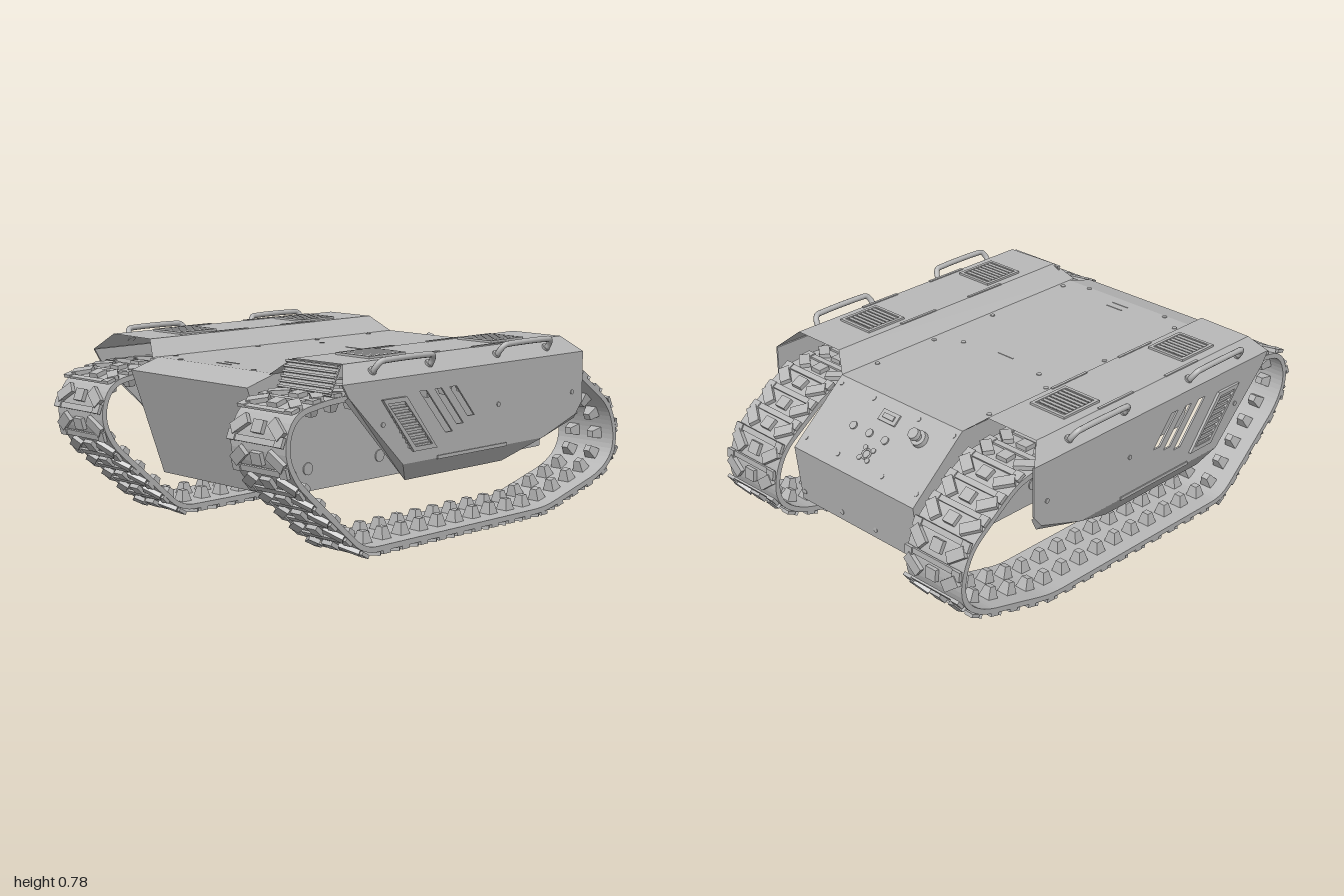
import * as THREE from 'three';
import { mergeGeometries } from 'three/addons/utils/BufferGeometryUtils.js';

const grey = new THREE.MeshStandardMaterial({ color: 0xb8b8b8, side: THREE.DoubleSide });
grey.name = 'metal grey';

function add(parent, name, geo, x = 0, y = 0, z = 0) {
  const m = new THREE.Mesh(geo, grey);
  m.name = name;
  m.position.set(x, y, z);
  parent.add(m);
  return m;
}
const box = (w, h, d) => new THREE.BoxGeometry(w, h, d);
const vecs = pts => pts.map(p => new THREE.Vector2(p[0], p[1]));
const extrude = (shape, depth) => new THREE.ExtrudeGeometry(shape, { depth, bevelEnabled: false, curveSegments: 20 });

// Flat-shaded strip between neighbouring rows of [x, y, z] points
function strip(rows) {
  const pos = [];
  for (let i = 0; i + 1 < rows.length; i++) {
    const a = rows[i], b = rows[i + 1];
    for (let j = 0; j + 1 < a.length; j++) pos.push(...a[j], ...b[j], ...b[j + 1], ...a[j], ...b[j + 1], ...a[j + 1]);
  }
  const g = new THREE.BufferGeometry();
  g.setAttribute('position', new THREE.Float32BufferAttribute(pos, 3));
  g.computeVertexNormals();
  return g;
}

// Closed path with softened corners
function roundedPath(pts, cut) {
  const p = vecs(pts), n = p.length, path = new THREE.Path();
  const toward = (a, b) => a.clone().lerp(b, Math.min(0.5, cut / a.distanceTo(b)));
  const first = toward(p[0], p[n - 1]);
  path.moveTo(first.x, first.y);
  for (let i = 0; i < n; i++) {
    const s = toward(p[i], p[(i + n - 1) % n]), e = toward(p[i], p[(i + 1) % n]);
    if (i && s.distanceTo(path.currentPoint) > 1e-4) path.lineTo(s.x, s.y);
    path.quadraticCurveTo(p[i].x, p[i].y, e.x, e.y);
  }
  path.lineTo(first.x, first.y);
  return path;
}

function makeTrack() {
  const track = new THREE.Group();
  track.name = 'track';
  const path = roundedPath([[-0.74, 0.625], [-0.93, 0.595], [-0.98, 0.47], [-0.93, 0.35], [-0.575, 0.03], [0.5, 0.03],
    [0.87, 0.13], [0.96, 0.2], [0.978, 0.3], [0.93, 0.43], [0.68, 0.61], [0.55, 0.625]], 0.07);
  const frame = u => {
    const p = path.getPointAt(u), t = path.getTangentAt(u);
    return { p, t, n: new THREE.Vector2(t.y, -t.x) };
  };
  // Belt
  const outer = [], inner = [], N = 200;
  for (let i = 0; i < N; i++) {
    const { p, n } = frame(i / N);
    outer.push(p.clone().addScaledVector(n, 0.011));
    inner.push(p.clone().addScaledVector(n, -0.011));
  }
  const belt = new THREE.Shape(outer);
  belt.holes.push(new THREE.Path(inner));
  add(track, 'trackBelt', extrude(belt, 0.3), 0, 0, 0.39);
  // One pitch of lugs outside and guide teeth inside
  const link = [box(0.05, 0.018, 0.055).translate(0, 0.02, 0), box(0.024, 0.009, 0.296).translate(0.052, 0.015, 0)];
  for (const s of [-1, 1]) {
    link.push(box(0.045, 0.018, 0.085).rotateY(s * 0.65).translate(0, 0.02, s * 0.1));
    link.push(box(0.04, 0.014, 0.04).translate(0.045, 0.018, s * 0.128));
    link.push(new THREE.CylinderGeometry(0.036, 0.02, 0.048, 4).rotateY(Math.PI / 4).scale(1, 1, 1.1).translate(0, -0.034, s * 0.06));
  }
  const one = mergeGeometries(link), all = [], count = 42;
  for (let i = 0; i < count; i++) {
    const { p, t, n } = frame(i / count);
    const m = new THREE.Matrix4().makeBasis(new THREE.Vector3(t.x, t.y, 0), new THREE.Vector3(n.x, n.y, 0), new THREE.Vector3(0, 0, -1));
    all.push(one.clone().applyMatrix4(m.setPosition(p.x, p.y, 0.54)));
  }
  const lugs = mergeGeometries(all).toNonIndexed();
  lugs.computeVertexNormals();
  add(track, 'trackLugs', lugs);
  return track;
}

function makeFender() {
  const f = new THREE.Group();
  f.name = 'fender';
  // Folded top
  const rows = [[-0.75, 0.64, 0.69, 0.35], [-0.7, 0.585, 0.755, 0.43], [-0.69, 0.585, 0.755, 0.685], [-0.75, 0.66, 0.69, 0.747]];
  add(f, 'fenderTop', strip(rows.map(([a, b, y, z]) => [[a, y, z], [b, y, z]])));
  // Side plate with slanted slots
  const side = new THREE.Shape(vecs([[-0.75, 0.69], [-0.72, 0.64], [-0.43, 0.355], [0.4, 0.355], [0.62, 0.43], [0.66, 0.48], [0.66, 0.69]]));
  for (const [x, y0] of [[-0.34, 0.45], [-0.255, 0.475], [-0.17, 0.5]])
    side.holes.push(new THREE.Path(vecs([[x, 0.625], [x + 0.04, 0.625], [x + 0.04 + (0.625 - y0) * 0.85, y0], [x + (0.625 - y0) * 0.85, y0]])));
  add(f, 'sidePlate', extrude(side, 0.008), 0, 0, 0.739);
  // Lower edge folded inward
  add(f, 'sideSkirt', strip([
    [[-0.72, 0.64, 0.747], [-0.43, 0.355, 0.747], [0.4, 0.355, 0.747], [0.62, 0.43, 0.747], [0.66, 0.48, 0.747]],
    [[-0.73, 0.63, 0.735], [-0.37, 0.28, 0.7], [0.2, 0.28, 0.7], [0.63, 0.41, 0.73], [0.664, 0.47, 0.738]]]));
  add(f, 'skirtRail', box(0.41, 0.014, 0.006), -0.035, 0.358, 0.749);
  // Slanted side vent
  const outline = (i) => vecs([[-0.55 + i * 1.5, 0.615 - i], [-0.42 - i * 0.6, 0.615 - i], [-0.25 - i * 1.5, 0.4 + i], [-0.38 + i * 0.6, 0.4 + i]]);
  const vent = new THREE.Shape(outline(0));
  vent.holes.push(new THREE.Path(outline(0.018)));
  add(f, 'sideVentFrame', extrude(vent, 0.012), 0, 0, 0.747);
  for (let i = 0; i < 9; i++) {
    const y = 0.42 + i * 0.0215;
    add(f, 'sideVentSlat', box(0.115, 0.011, 0.008), -0.33 - (y - 0.4) * 0.73, y, 0.751);
  }
  // Top grilles
  for (const x of [-0.41, 0.29]) {
    for (const s of [-1, 1]) {
      add(f, 'grilleFrame', box(0.2, 0.01, 0.014), x, 0.759, 0.555 + s * 0.083);
      add(f, 'grilleFrame', box(0.014, 0.01, 0.18), x + s * 0.093, 0.759, 0.555);
    }
    for (let i = 0; i < 8; i++) {
      const bar = add(f, 'grilleBar', box(0.014, 0.009, 0.15), x - 0.077 + i * 0.022, 0.759, 0.555);
      bar.rotation.z = 0.4;
    }
  }
  // Grab handles
  for (const x of [-0.415, 0.29]) {
    const p = [[-0.155, 0.715, 0.722], [-0.155, 0.738, 0.738], [-0.14, 0.76, 0.752], [-0.11, 0.763, 0.754]];
    const pts = [...p, ...p.slice().reverse().map(([a, b, c]) => [-a, b, c])].map(([a, b, c]) => new THREE.Vector3(x + a, b, c));
    add(f, 'grabHandle', new THREE.TubeGeometry(new THREE.CatmullRomCurve3(pts), 40, 0.012, 10));
    for (const s of [-1, 1]) {
      const foot = add(f, 'handleFoot', new THREE.CylinderGeometry(0.017, 0.017, 0.012, 12), x + s * 0.155, 0.722, 0.72);
      foot.rotation.x = Math.PI / 4;
    }
  }
  // Thin raised hinge strips along the folds
  for (const x of [-0.26, 0.135]) {
    add(f, 'hingeStrip', box(0.2, 0.006, 0.012), x, 0.756, 0.435);
    add(f, 'hingeStrip', box(0.2, 0.006, 0.012), x, 0.756, 0.68);
  }
  for (const [x, y] of [[-0.54, 0.52], [0.12, 0.525], [0.59, 0.525]])
    add(f, 'sideScrew', new THREE.CylinderGeometry(0.01, 0.01, 0.004, 12).rotateX(Math.PI / 2), x, y, 0.749);
  return f;
}

export function createModel() {
  const model = new THREE.Group();
  model.name = 'trackedRobot';
  // Hull with a cross hole for the drive axle
  const hull = new THREE.Shape(vecs([[-0.7, 0.21], [0.875, 0.21], [0.905, 0.46], [0.64, 0.69], [-0.72, 0.69], [-0.86, 0.65]]));
  hull.holes.push(new THREE.Path().absarc(0.79, 0.32, 0.06, 0, Math.PI * 2, true));
  add(model, 'hull', extrude(hull, 0.7), 0, 0, -0.35);

  // Tracks and fenders on both sides
  for (const s of [1, -1]) {
    const half = new THREE.Group();
    half.name = s > 0 ? 'frontSide' : 'backSide';
    half.add(makeTrack(), makeFender());
    for (let i = 0; i < 6; i++) {
      const a = i * Math.PI / 3;
      add(half, 'axleBolt', new THREE.CylinderGeometry(0.007, 0.007, 0.006, 8).rotateX(Math.PI / 2), 0.79 + 0.075 * Math.cos(a), 0.32 + 0.075 * Math.sin(a), 0.352);
    }
    for (const x of [-0.55, -0.15, 0.25, 0.55])
      add(half, 'hullPlug', new THREE.CylinderGeometry(0.025, 0.025, 0.006, 16).rotateX(Math.PI / 2), x, 0.3, 0.352);
    half.scale.z = s;
    model.add(half);
  }

  // Ribbed end guard on one fender
  const guard = new THREE.Group();
  guard.name = 'endGuard';
  guard.position.set(-0.72, 0.695, 0.54);
  guard.rotation.z = -0.45;
  add(guard, 'guardPlate', box(0.006, 0.12, 0.28));
  for (let i = 0; i < 6; i++) add(guard, 'guardRib', box(0.014, 0.008, 0.28), -0.007, -0.05 + i * 0.02, 0);
  model.add(guard);

  // Deck screws and hatch seams
  const screw = new THREE.CylinderGeometry(0.011, 0.011, 0.004, 12);
  for (const s of [-1, 1])
    for (const [x, z] of [[-0.65, 0.325], [-0.2, 0.325], [0.15, 0.325], [0.47, 0.325], [0.08, 0.22], [-0.71, 0.22]])
      add(model, 'deckScrew', screw, x, 0.691, s * z);
  for (const x of [-0.67, -0.63, 0.05]) add(model, 'deckSeam', box(0.005, 0.003, 0.085), x, 0.691, 0);

  // Sloped control panel: local y points out of the panel, local x runs down it
  const panel = new THREE.Group();
  panel.name = 'controlPanel';
  panel.position.set(0.7725, 0.575, 0);
  panel.rotation.z = -Math.atan2(0.23, 0.265);
  add(panel, 'displayFrame', box(0.05, 0.008, 0.095), -0.1, 0.003, 0);
  add(panel, 'displaySwitches', box(0.02, 0.012, 0.06), -0.1, 0.006, 0);
  for (const z of [0.14, 0.045, -0.045])
    add(panel, 'socket', new THREE.CylinderGeometry(0.017, 0.017, 0.008, 18), -0.01, 0.003, z);
  add(panel, 'portRing', new THREE.TorusGeometry(0.02, 0.004, 8, 20).rotateX(Math.PI / 2), 0.07, 0.002, 0);
  for (const a of [-1, 1]) for (const b of [-1, 1]) add(panel, 'portScrew', screw, 0.07 + a * 0.023, 0.002, b * 0.023);
  add(panel, 'knobBase', new THREE.CylinderGeometry(0.033, 0.035, 0.02, 20), -0.075, 0.01, -0.195);
  add(panel, 'knobStem', new THREE.CylinderGeometry(0.017, 0.017, 0.025, 16), -0.075, 0.03, -0.195);
  add(panel, 'knobCap', new THREE.CylinderGeometry(0.023, 0.026, 0.018, 20), -0.075, 0.05, -0.195);
  for (const x of [-0.145, 0.12]) for (const z of [-0.325, -0.13, 0.13, 0.325]) add(panel, 'panelScrew', screw, x, 0.001, z);
  model.add(panel);
  for (const z of [-0.33, -0.1, 0.1, 0.33])
    add(model, 'noseScrew', screw, 0.88, 0.25, z).rotation.z = -Math.PI / 2;
  return model;
}
